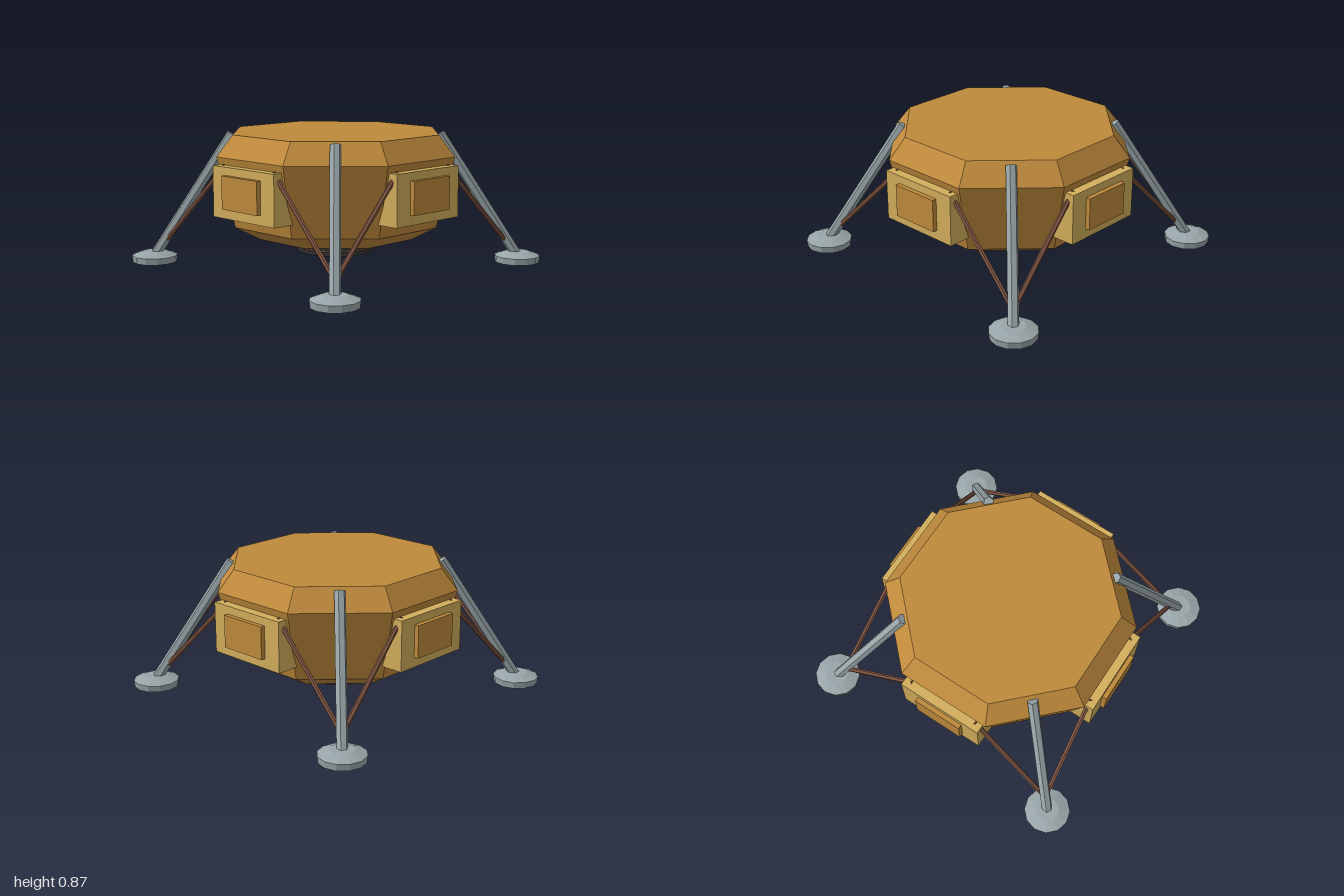
import * as THREE from 'three';

const mat = (name, color) => {
  const m = new THREE.MeshStandardMaterial({ color, flatShading: true });
  m.name = name;
  return m;
};

export function createModel() {
  const gold = mat('gold foil', 0xbf8a3c);
  const pale = mat('pale gold panel', 0xd2ae5c);
  const silver = mat('silver metal', 0x98a5a8);
  const copper = mat('copper brown', 0x7f5542);
  const dark = mat('dark nozzle', 0x2a2828);

  const model = new THREE.Group();
  model.name = 'landerDescentStage';

  const add = (parent, name, geometry, material) => {
    const mesh = new THREE.Mesh(geometry, material);
    mesh.name = name;
    parent.add(mesh);
    return mesh;
  };

  // Faceted solid of revolution, profile listed from bottom to top
  const lathe = (profile, sides, start = 0) => new THREE.LatheGeometry(
    profile.map(([r, y]) => new THREE.Vector2(r, y)), sides, start);

  // Straight bar between two points
  const bar = (parent, name, a, b, radius, sides, material) => {
    const from = new THREE.Vector3(...a), to = new THREE.Vector3(...b);
    const dir = to.clone().sub(from);
    const mesh = add(parent, name, new THREE.CylinderGeometry(radius, radius, dir.length(), sides), material);
    mesh.position.copy(from).add(to).multiplyScalar(0.5);
    mesh.quaternion.setFromUnitVectors(new THREE.Vector3(0, 1, 0), dir.normalize());
  };

  // Octagonal body; profile radii are distances to the flat sides
  const toCorner = 1 / Math.cos(Math.PI / 8);
  const body = [[0, 0.185], [0.485, 0.185], [0.64, 0.275], [0.75, 0.735], [0.65, 0.87], [0, 0.87]];
  add(model, 'body', lathe(body.map(([r, y]) => [r * toCorner, y]), 8, Math.PI / 8), gold);

  // Engine bell with copper rings
  add(model, 'engineBell', lathe([[0, 0.088], [0.25, 0.088], [0.16, 0.2]], 24), dark);
  for (const [r, y] of [[0.19, 0.162], [0.212, 0.135], [0.234, 0.108]]) {
    const ring = add(model, 'bellRing', new THREE.TorusGeometry(r, 0.006, 6, 24), copper);
    ring.rotation.x = Math.PI / 2;
    ring.position.y = y;
  }
  add(model, 'bellLip', lathe([[0.238, 0.085], [0.257, 0.085], [0.245, 0.1]], 24), dark);

  for (let i = 0; i < 4; i++) {
    const quarter = new THREE.Group();
    quarter.name = 'quarter' + (i + 1);
    quarter.rotation.y = i * Math.PI / 2;
    model.add(quarter);

    // Equipment bay on the flat side
    add(quarter, 'equipmentBay', new THREE.BoxGeometry(0.57, 0.325, 0.2), pale).position.set(0, 0.527, 0.7);
    add(quarter, 'bayCover', new THREE.BoxGeometry(0.33, 0.21, 0.05), gold).position.set(0, 0.533, 0.805);

    // Landing leg with foot pad on the diagonal
    const leg = new THREE.Group();
    leg.name = 'landingLeg';
    quarter.add(leg);
    bar(leg, 'mainStrut', [0.48, 0.85, 0.48], [0.85, 0.04, 0.85], 0.035, 6, silver);
    bar(leg, 'sideStrut', [0.23, 0.685, 0.75], [0.8, 0.13, 0.8], 0.016, 6, copper);
    bar(leg, 'sideStrut', [0.75, 0.685, 0.23], [0.8, 0.13, 0.8], 0.016, 6, copper);
    const pad = lathe([[0, 0], [0.145, 0], [0.15, 0.043], [0.077, 0.07], [0, 0.07]], 12);
    add(leg, 'footPad', pad, silver).position.set(0.85, 0, 0.85);
  }
  return model;
}
